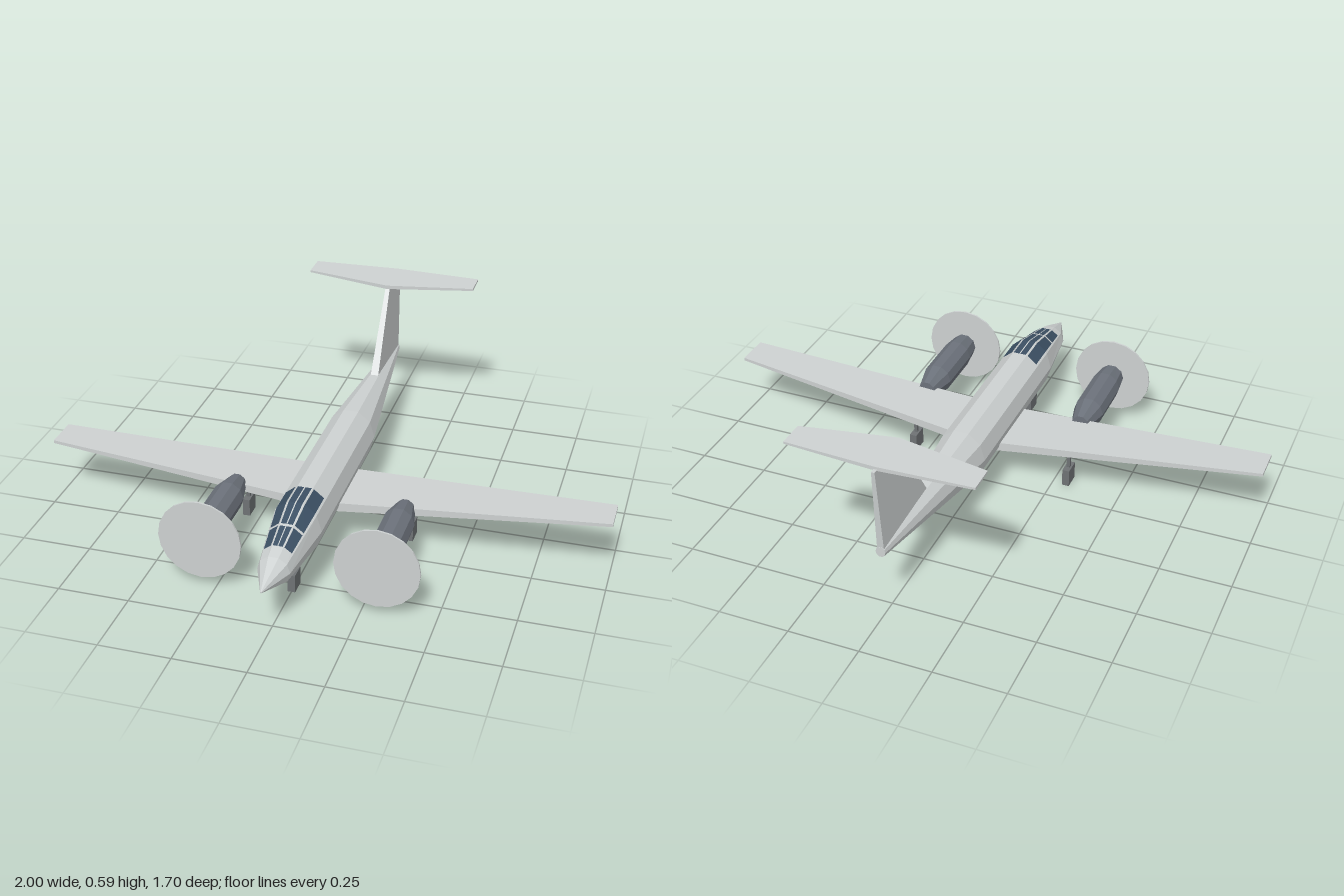
import * as THREE from 'three';

const paint = (name, color) => {
  const m = new THREE.MeshStandardMaterial({ color });
  m.name = name;
  return m;
};

// Faceted geometry from a list of triangle corners
function facets(corners) {
  const g = new THREE.BufferGeometry();
  g.setAttribute('position', new THREE.Float32BufferAttribute(corners.flat(), 3));
  g.computeVertexNormals();
  return g;
}

// Closed loft; rings run clockwise seen from the first ring's end
function loft(rings) {
  const t = [];
  const n = rings[0].length;
  for (let j = 0; j < rings.length - 1; j++) {
    for (let i = 0; i < n; i++) {
      const k = (i + 1) % n;
      const [a, b, c, d] = [rings[j][i], rings[j][k], rings[j + 1][i], rings[j + 1][k]];
      t.push(a, b, c, b, d, c);
    }
  }
  const first = rings[0], last = rings[rings.length - 1];
  for (let i = 1; i < n - 1; i++) {
    t.push(first[0], first[i + 1], first[i]);
    t.push(last[0], last[i], last[i + 1]);
  }
  return facets(t);
}

// Ten-sided ring with a flat on top: station = [z, centre y, half width, half height]
function ring([z, cy, rx, ry]) {
  return Array.from({ length: 10 }, (_, i) => {
    const a = (i * 36 - 18) * Math.PI / 180;
    return [Math.sin(a) * rx, cy + Math.cos(a) * ry, z];
  });
}

// Spanwise surface section: [x, front z, back z, top y, bottom y]
const section = ([x, zf, zb, yt, yb]) => [[x, yt, zf], [x, yt, zb], [x, yb, zb], [x, yb, zf]];

const mirrored = ([tip, root]) => loft([tip, root, [-tip[0], ...tip.slice(1)]].map(section));

const BODY = [
  [0.85, 0.198, 0.003, 0.003],
  [0.725, 0.197, 0.055, 0.054],
  [0.49, 0.214, 0.088, 0.1],
  [-0.17, 0.214, 0.088, 0.1],
  [-0.82, 0.262, 0.017, 0.019],
];

// Fuselage station at any z
function stationAt(z) {
  const j = Math.max(0, BODY.findIndex((s) => s[0] <= z) - 1);
  const [a, b] = [BODY[j], BODY[j + 1]];
  const f = (z - a[0]) / (b[0] - a[0]);
  return a.map((v, i) => v + (b[i] - v) * f);
}

// Window pane lying just over fuselage side i, between two z values and two fractions
function pane(i, z0, z1, f0, f1) {
  const at = (z, f) => {
    const r = ring(stationAt(z));
    const p = r[i].map((v, k) => v + (r[(i + 1) % 10][k] - v) * f);
    const a = i * Math.PI / 5;
    return [p[0] + Math.sin(a) * 0.003, p[1] + Math.cos(a) * 0.003, p[2]];
  };
  const [a, b, c, d] = [at(z0, f0), at(z0, f1), at(z1, f0), at(z1, f1)];
  return [a, b, c, b, d, c];
}

export function createModel() {
  const light = paint('light grey', 0xcdd1d1);
  const engine = paint('engine grey', 0x6c727b);
  const glass = paint('dark glass', 0x3c5064);
  const gearGrey = paint('gear grey', 0x6e7274);

  const plane = new THREE.Group();
  plane.name = 'airplane';
  const add = (name, geometry, material, parent = plane) => {
    const m = new THREE.Mesh(geometry, material);
    m.name = name;
    parent.add(m);
    return m;
  };

  add('fuselage', loft(BODY.map(ring)), light);

  // Cockpit glazing: top and both shoulders, with narrow frames between
  const panes = [];
  for (const [z0, z1] of [[0.68, 0.595], [0.585, 0.49], [0.49, 0.39]]) {
    panes.push(...pane(0, z0, z1, 0.06, 0.46), ...pane(0, z0, z1, 0.54, 0.94));
    panes.push(...pane(1, z0, z1, 0.06, 0.85), ...pane(9, z0, z1, 0.15, 0.94));
  }
  add('cockpitWindows', facets(panes), glass);

  // Wing and T-tail
  add('wing', mirrored([[1, 0.21, 0.085, 0.235, 0.224], [0, 0.245, -0.005, 0.17, 0.136]]), light);
  add('tailplane', mirrored([[0.32, -0.72, -0.815, 0.594, 0.586], [0, -0.66, -0.83, 0.594, 0.58]]), light);

  // Fin, from top to base: [y, front z, back z, half front, half back]
  const finRing = ([y, zf, zb, wf, wb]) => [[-wb, y, zb], [wb, y, zb], [wf, y, zf], [-wf, y, zf]];
  add('fin', loft([
    [0.585, -0.68, -0.848, 0.008, 0.006],
    [0.27, -0.48, -0.818, 0.015, 0.012],
  ].map(finRing)), light);

  // Engines with propeller discs
  const nacelle = loft([
    [0.578, 0.178, 0.046, 0.047],
    [0.5, 0.178, 0.055, 0.057],
    [0.31, 0.178, 0.055, 0.057],
    [0.215, 0.178, 0.033, 0.037],
  ].map(ring));
  const disc = new THREE.CylinderGeometry(0.145, 0.145, 0.007, 20).toNonIndexed();
  disc.rotateX(Math.PI / 2);
  disc.computeVertexNormals();
  for (const s of [1, -1]) {
    const unit = new THREE.Group();
    unit.name = s > 0 ? 'leftEngine' : 'rightEngine';
    unit.position.x = s * 0.302;
    plane.add(unit);
    add('nacelle', nacelle, engine, unit);
    add('propellerDisc', disc, light, unit).position.set(0, 0.175, 0.59);
  }

  // Landing gear: [name, x, z, strut top]
  const strut = new THREE.BoxGeometry(0.012, 1, 0.012);
  const wheel = new THREE.BoxGeometry(0.026, 0.064, 0.062);
  for (const [name, x, z, top] of [
    ['noseGear', 0, 0.52, 0.15], ['leftGear', 0.3, 0.11, 0.175], ['rightGear', -0.3, 0.11, 0.175],
  ]) {
    const gear = new THREE.Group();
    gear.name = name;
    gear.position.set(x, 0, z);
    plane.add(gear);
    const leg = add('strut', strut, gearGrey, gear);
    leg.scale.y = top - 0.05;
    leg.position.y = (top + 0.05) / 2;
    add('wheel', wheel, gearGrey, gear).position.y = 0.032;
  }

  return plane;
}
